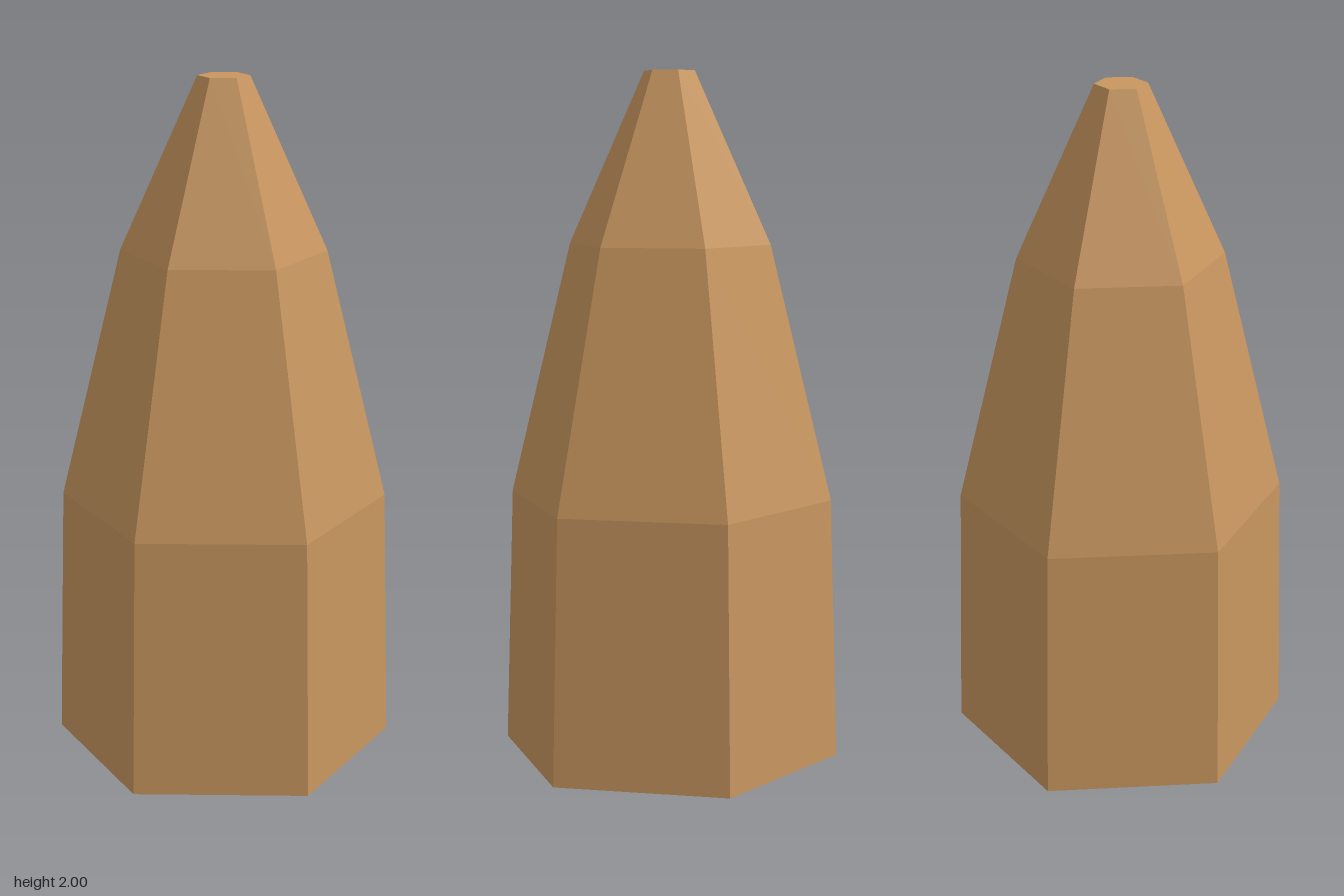
import * as THREE from 'three';

export function createModel() {
  const model = new THREE.Group();
  model.name = 'hexagonalSpire';
  const material = new THREE.MeshStandardMaterial({ color: 0xc8965f, flatShading: true });

  // Radius and height of each ring, closed on the axis at both ends
  const profile = [
    [0, 0], [0.503, 0], [0.478, 0.765], [0.296, 1.505], [0.074, 2], [0, 2],
  ].map(([r, y]) => new THREE.Vector2(r, y));

  // Six-sided tapering body with corners on the z axis
  const geometry = new THREE.LatheGeometry(profile, 6).toNonIndexed();
  geometry.computeVertexNormals();
  const body = new THREE.Mesh(geometry, material);
  body.name = 'taperedBody';
  model.add(body);

  return model;
}
